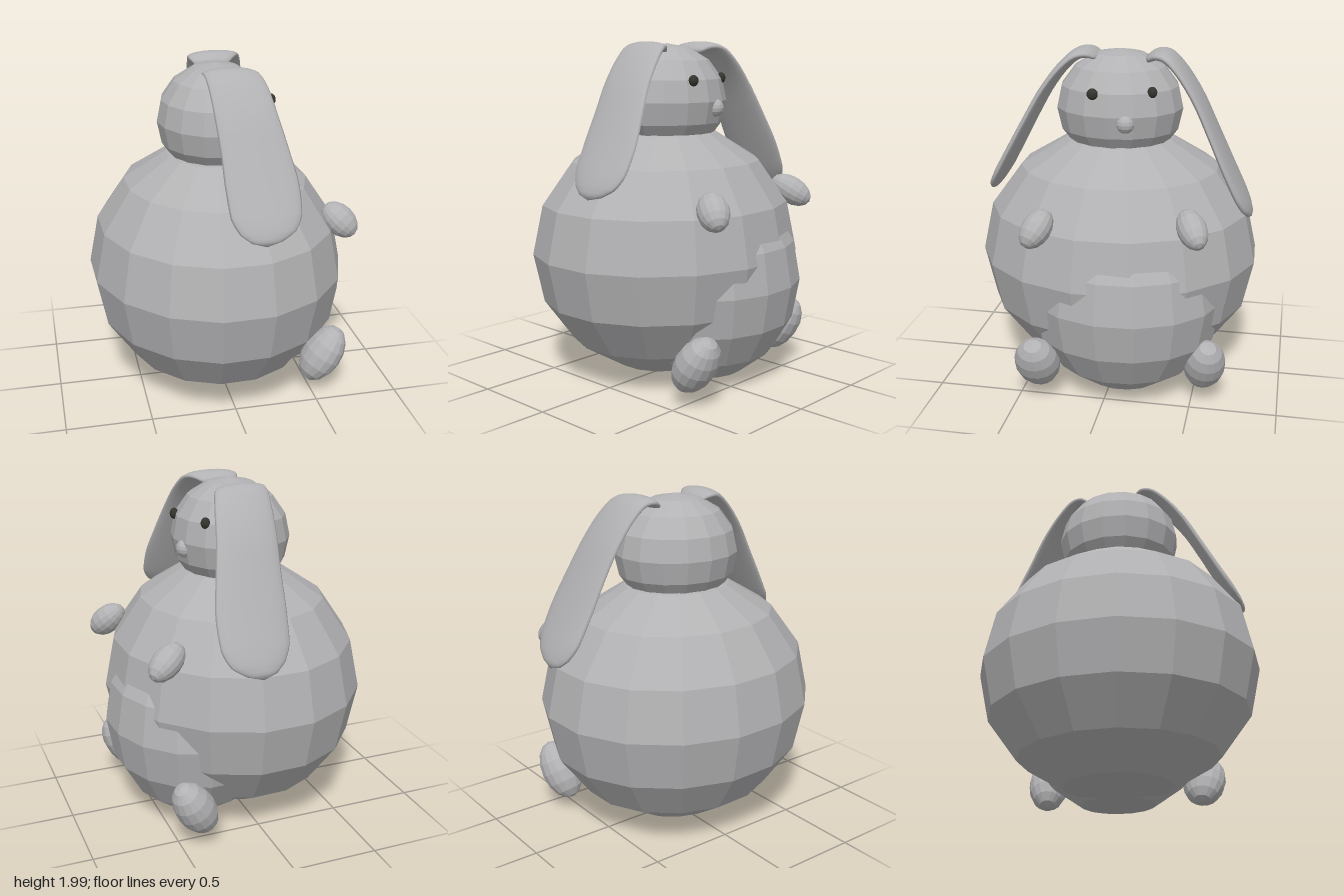
import * as THREE from 'three';

const fur = new THREE.MeshStandardMaterial({ color: 0xb2b2b4, flatShading: true });
fur.name = 'grey fur';
const earFur = fur.clone();
earFur.name = 'grey ear fur';
earFur.flatShading = false;
const dark = new THREE.MeshStandardMaterial({ color: 0x34352e, flatShading: true });
dark.name = 'dark eye';

// Faceted ellipsoid; its facets, not its edges, face the axes
function ball(name, pos, radii, { yaw = 0, axis = null, mat = fur } = {}) {
  const g = new THREE.SphereGeometry(1, 16, 8);
  g.rotateY(Math.PI / 16 + yaw);
  g.scale(...radii);
  const m = new THREE.Mesh(g, mat);
  m.name = name;
  m.position.set(...pos);
  if (axis) {
    m.quaternion.setFromUnitVectors(new THREE.Vector3(0, 1, 0), new THREE.Vector3(...axis).normalize());
  }
  return m;
}

// Floppy ear: flat oval sections lofted along a drooping curve
// Each station: x, y, z of the centre, half width, half thickness
const EAR = [
  [0.00, 1.935, 0.12, 0.10, 0.02],
  [0.01, 1.960, 0.17, 0.14, 0.028],
  [0.03, 1.955, 0.23, 0.155, 0.032],
  [0.05, 1.890, 0.31, 0.165, 0.03],
  [0.07, 1.760, 0.41, 0.175, 0.03],
  [0.095, 1.600, 0.50, 0.188, 0.03],
  [0.115, 1.430, 0.59, 0.203, 0.032],
  [0.12, 1.300, 0.66, 0.197, 0.034],
  [0.12, 1.220, 0.705, 0.155, 0.03],
  [0.11, 1.175, 0.73, 0.085, 0.02],
];

function ear(name, side) {
  const place = (x, y, z) => side > 0
    ? [x, y, z]
    : [x, y - 0.09 * Math.max(0, (1.96 - y) / 0.8), -z - 0.05];
  const path = new THREE.CatmullRomCurve3(EAR.map(s => new THREE.Vector3(s[0], s[1], s[2])));
  const sizes = new THREE.CatmullRomCurve3(EAR.map(s => new THREE.Vector3(s[3], s[4], 0)));
  const rows = 28, cols = 20, pos = [], idx = [];
  for (let i = 0; i <= rows; i++) {
    const t = i / rows, c = path.getPoint(t), s = sizes.getPoint(t), d = path.getTangent(t);
    const len = Math.hypot(d.y, d.z), ny = d.z / len, nz = -d.y / len;
    for (let j = 0; j < cols; j++) {
      const a = (j / cols) * Math.PI * 2;
      const w = Math.cos(a) * s.x, h = Math.sin(a) * s.y;
      pos.push(...place(c.x + w, c.y + ny * h, c.z + nz * h));
    }
  }
  // Rounded ends close to a point just beyond the first and last section
  [[0, -0.02], [1, 0.025]].forEach(([t, reach]) => {
    const p = path.getPoint(t).addScaledVector(path.getTangent(t), reach);
    pos.push(...place(p.x, p.y, p.z));
  });
  const face = (a, b, c) => side > 0 ? idx.push(a, b, c) : idx.push(a, c, b);
  const first = (rows + 1) * cols, last = first + 1;
  for (let j = 0; j < cols; j++) {
    const k = (j + 1) % cols;
    for (let i = 0; i < rows; i++) {
      const a = i * cols + j, b = i * cols + k;
      face(a, a + cols, b);
      face(b, a + cols, b + cols);
    }
    face(first, j, k);
    face(last, rows * cols + k, rows * cols + j);
  }
  const g = new THREE.BufferGeometry();
  g.setAttribute('position', new THREE.Float32BufferAttribute(pos, 3));
  g.setIndex(idx);
  g.computeVertexNormals();
  const m = new THREE.Mesh(g, earFur);
  m.name = name;
  return m;
}

export function createModel() {
  const model = new THREE.Group();
  model.name = 'rabbit';
  earFur.side = THREE.DoubleSide;
  model.add(
    // Torso and head
    ball('body', [-0.02, 0.77, 0], [0.755, 0.75, 0.83], { yaw: 0.03 }),
    ball('belly', [0.26, 0.605, -0.08], [0.51, 0.6, 0.58], { yaw: 0.05 }),
    ball('head', [-0.015, 1.652, 0], [0.34, 0.33, 0.37], { yaw: 0.17 }),
    // Face, looking toward +x
    ball('nose', [0.29, 1.615, -0.085], [0.05, 0.052, 0.052]),
    ball('eye', [0.287, 1.775, 0.1], [0.025, 0.032, 0.032], { mat: dark }),
    ball('eye', [0.215, 1.782, -0.222], [0.027, 0.032, 0.028], { mat: dark }),
    // Paws
    ball('frontPaw', [0.645, 1.103, 0.34], [0.082, 0.122, 0.09], { axis: [0.12, -0.12, 0.07] }),
    ball('frontPaw', [0.54, 1.117, -0.495], [0.082, 0.13, 0.082], { axis: [0.18, -0.12, -0.1] }),
    // Feet
    ball('foot', [0.565, 0.25, 0.38], [0.115, 0.188, 0.132], { axis: [0.11, 0.17, 0] }),
    ball('foot', [0.42, 0.25, -0.575], [0.115, 0.188, 0.12], { axis: [0.1, 0.17, -0.03] }),
    // Ears
    ear('ear', 1),
    ear('ear', -1),
  );
  return model;
}
